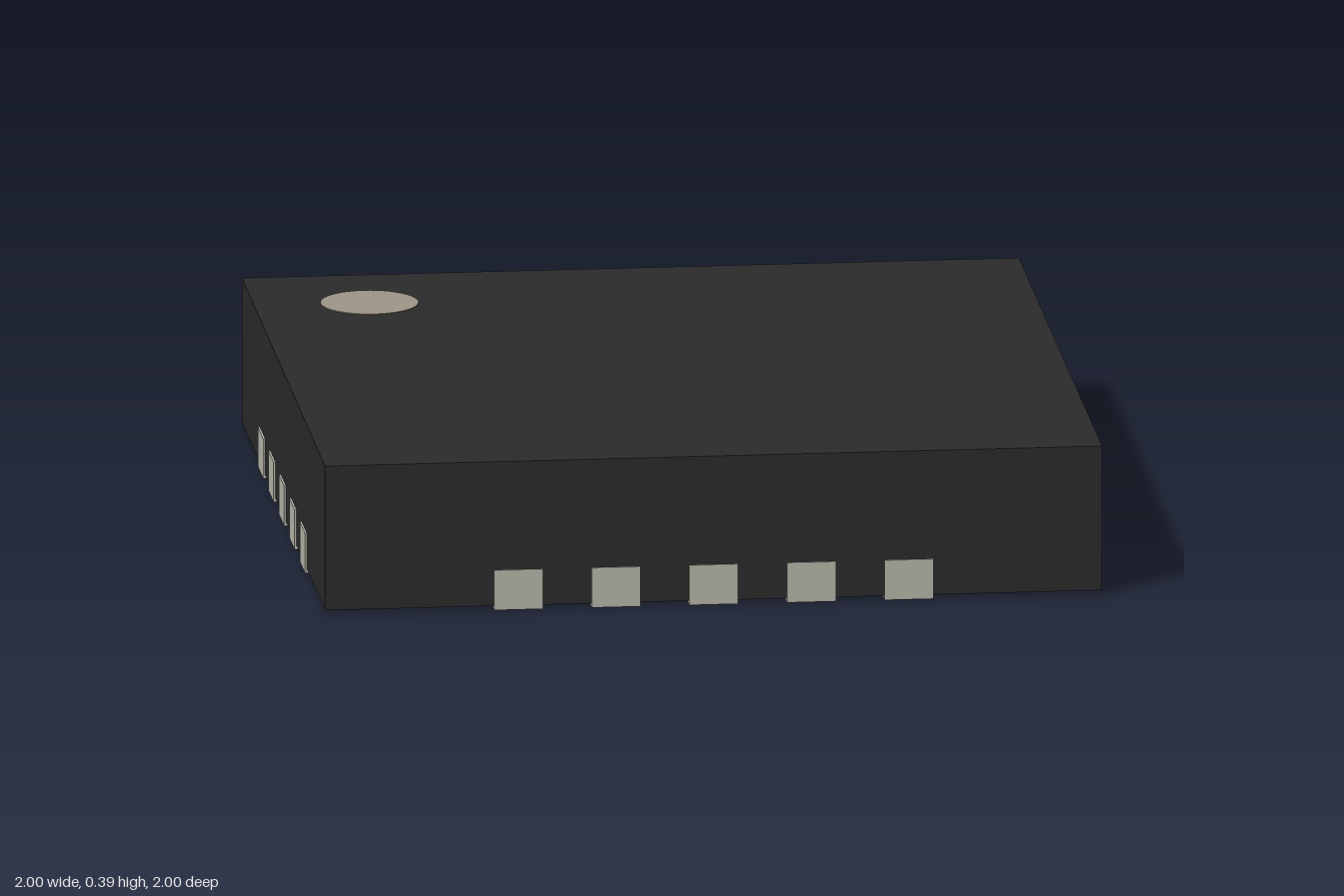
import * as THREE from 'three';

const BODY = 0.995, BOTTOM = 0.01, TOP = 0.388;
const PIN_W = 0.125, PITCH = 0.25;

const paint = (color) => new THREE.MeshStandardMaterial({ color });

function addMesh(parent, name, geometry, material) {
  const mesh = new THREE.Mesh(geometry, material);
  mesh.name = name;
  parent.add(mesh);
  return mesh;
}

// Extrude an (x, z) outline upwards from y = 0
function slab(shape, height) {
  const geometry = new THREE.ExtrudeGeometry(shape, { depth: height, bevelEnabled: false, curveSegments: 16 });
  return geometry.rotateX(Math.PI / 2).translate(0, height, 0);
}

export function createModel() {
  const model = new THREE.Group();
  model.name = 'chipPackage';
  const black = paint(0x2b2b2b);
  const metal = paint(0xbab8ad);
  const beige = paint(0x9f9788);

  // Moulded body
  const body = addMesh(model, 'body', new THREE.BoxGeometry(2 * BODY, TOP - BOTTOM, 2 * BODY), black);
  body.position.y = (TOP + BOTTOM) / 2;

  // Round marker beside the first pin
  const marker = addMesh(model, 'cornerMarker', new THREE.CylinderGeometry(0.125, 0.125, 0.004, 48), beige);
  marker.position.set(-0.7, TOP, -0.7);

  // Thermal pad with one clipped corner
  const p = 0.615, c = 0.1;
  const padShape = new THREE.Shape([
    [-p + c, -p], [p, -p], [p, p], [-p, p], [-p, -p + c],
  ].map(([x, z]) => new THREE.Vector2(x, z)));
  addMesh(model, 'thermalPad', slab(padShape, BOTTOM + 0.004), metal);

  // Foot under the body: straight at the edge, round at the inner end
  const r = PIN_W / 2;
  const footShape = new THREE.Shape();
  footShape.moveTo(r, 1);
  footShape.lineTo(-r, 1);
  footShape.lineTo(-r, 0.795 + r);
  footShape.absarc(0, 0.795 + r, r, Math.PI, 2 * Math.PI, false);
  footShape.closePath();
  const footGeometry = slab(footShape, BOTTOM + 0.004);
  const faceGeometry = new THREE.BoxGeometry(PIN_W, 0.1, 0.04);

  // Five pins on each of the four sides
  for (let side = 0; side < 4; side++) {
    const row = new THREE.Group();
    row.name = 'pinRow';
    row.rotation.y = side * Math.PI / 2;
    for (let i = -2; i <= 2; i++) {
      const pin = new THREE.Group();
      pin.name = 'pin';
      pin.position.x = i * PITCH;
      addMesh(pin, 'pinFoot', footGeometry, metal);
      addMesh(pin, 'pinFace', faceGeometry, metal).position.set(0, 0.054, 0.98);
      row.add(pin);
    }
    model.add(row);
  }
  return model;
}
